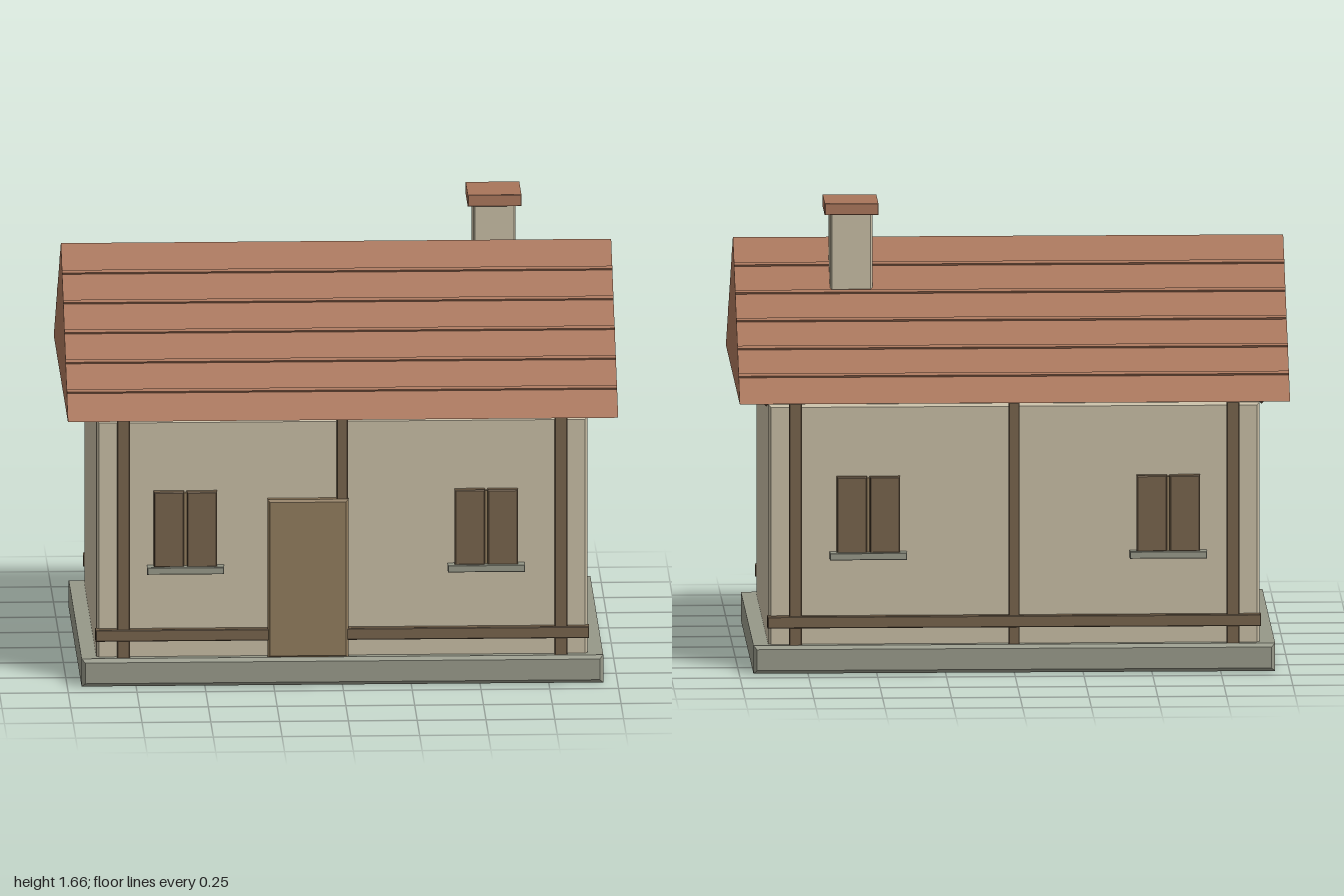
import * as THREE from 'three';

const mat = (color) => new THREE.MeshStandardMaterial({ color, flatShading: true });
const MATS = {
  plaster: mat(0xc4baa2), stone: mat(0x969888), roof: mat(0xa8755a),
  wood: mat(0x75624b), door: mat(0x8f7a5c), dark: mat(0x54402f),
};

// Box with chamfered edges, given by its min / max limits on each axis
function block(name, material, [x0, x1], [y0, y1], [z0, z1], bevel = 0.004) {
  const w = (x1 - x0) / 2 - bevel, h = (y1 - y0) / 2 - bevel, d = z1 - z0 - 2 * bevel;
  const shape = new THREE.Shape();
  shape.moveTo(-w, -h).lineTo(w, -h).lineTo(w, h).lineTo(-w, h).closePath();
  const geo = new THREE.ExtrudeGeometry(shape, {
    depth: d, bevelEnabled: true, bevelSegments: 1, bevelSize: bevel, bevelThickness: bevel,
  });
  geo.translate((x0 + x1) / 2, (y0 + y1) / 2, z0 + bevel);
  const mesh = new THREE.Mesh(geo, material);
  mesh.name = name;
  return mesh;
}

// Two shutters, a pale strip between them and a sill
function makeWindow(x) {
  const g = new THREE.Group();
  g.name = 'window';
  for (const s of [-1, 1]) {
    const c = x + s * 0.06;
    g.add(block('shutter', MATS.wood, [c - 0.055, c + 0.055], [0.44, 0.72], [0.605, 0.648]));
  }
  g.add(block('windowStrip', MATS.door, [x - 0.008, x + 0.008], [0.44, 0.715], [0.605, 0.632], 0.001));
  g.add(block('windowSill', MATS.stone, [x - 0.14, x + 0.14], [0.417, 0.443], [0.6, 0.663], 0.002));
  return g;
}

// Timber frame and windows of one long wall, facing +z
function makeFacade(windowXs) {
  const g = new THREE.Group();
  for (const x of [-0.795, 0, 0.795]) {
    const w = x === 0 ? 0.02 : 0.023;
    g.add(block('post', MATS.wood, [x - w, x + w], [0.1, 0.99], [0.6, 0.643], 0.003));
  }
  g.add(block('rail', MATS.wood, [-0.897, 0.897], [0.165, 0.208], [0.6, 0.647], 0.003));
  for (const x of windowXs) g.add(makeWindow(x));
  return g;
}

export function createModel() {
  const house = new THREE.Group();
  house.name = 'house';

  // Plinth and walls
  house.add(block('foundation', MATS.stone, [-0.948, 0.948], [0, 0.103], [-0.661, 0.661], 0.013));
  house.add(block('walls', MATS.plaster, [-0.893, 0.893], [0.09, 0.983], [-0.618, 0.618], 0.01));

  // Long sides
  const front = makeFacade([-0.57, 0.523]);
  front.name = 'frontFacade';
  front.add(block('door', MATS.door, [-0.272, 0.022], [0.1, 0.689], [0.6, 0.652], 0.009));
  const back = makeFacade([-0.53, 0.56]);
  back.name = 'backFacade';
  back.rotation.y = Math.PI;
  house.add(front, back);

  // Roof prism
  const HALF = 0.715, EAVE = 1.0, RIDGE = 1.505;
  const gable = new THREE.Shape();
  gable.moveTo(-HALF, EAVE).lineTo(HALF, EAVE).lineTo(0, RIDGE).closePath();
  const roofGeo = new THREE.ExtrudeGeometry(gable, { depth: 2, bevelEnabled: false });
  roofGeo.translate(0, 0, -1).rotateY(Math.PI / 2);
  const roof = new THREE.Mesh(roofGeo, MATS.roof);
  roof.name = 'roof';
  house.add(roof);

  // Battens across both slopes
  const pitch = Math.atan2(RIDGE - EAVE, HALF);
  for (const side of [-1, 1]) {
    for (let i = 1; i <= 5; i++) {
      const t = i / 6;
      const batten = new THREE.Mesh(new THREE.BoxGeometry(2, 0.016, 0.014), MATS.roof);
      batten.name = 'roofBatten';
      batten.position.set(0, EAVE + (RIDGE - EAVE) * t, side * HALF * (1 - t));
      batten.rotation.x = side * pitch;
      house.add(batten);
    }
  }

  // Small pointed supports under the roof corners
  for (const x of [-0.9, 0.9]) {
    for (const z of [-0.6, 0.6]) {
      const geo = new THREE.ConeGeometry(0.036, 0.028, 4).rotateY(Math.PI / 4).rotateX(Math.PI);
      const support = new THREE.Mesh(geo, MATS.dark);
      support.name = 'eaveSupport';
      support.position.set(x, 0.989, z);
      house.add(support);
    }
  }

  // Chimney
  house.add(block('chimney', MATS.plaster, [0.5, 0.655], [1.2, 1.63], [-0.225, -0.05], 0.007));
  house.add(block('chimneyCap', MATS.roof, [0.48, 0.675], [1.622, 1.665], [-0.25, -0.03], 0.002));

  return house;
}
